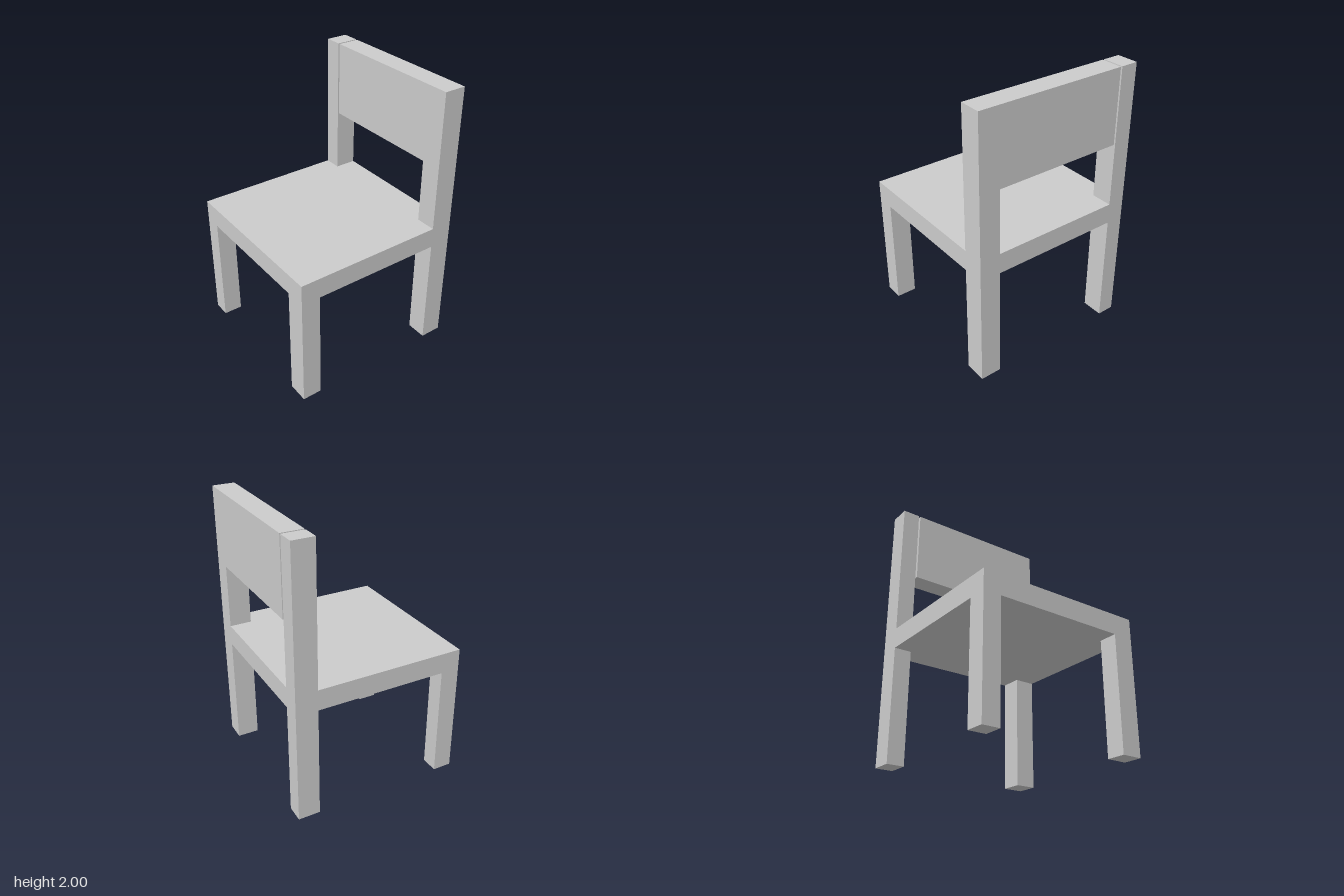
import * as THREE from 'three';

const material = new THREE.MeshStandardMaterial({ color: 0xcccccc, flatShading: true });

// Main dimensions
const X = 0.63, Z = 0.622, TOP = 2;
const SEAT_LOW = 0.835, SEAT_HIGH = 0.985;
const BACK_X = 0.47, FRONT_X = -0.49; // inner faces of the two leg frames
const THICK_LEG = -0.47, THIN_LEG = 0.493; // inner leg faces, as -z
const PANEL_END = 0.48, PANEL_LOW = 1.455; // backrest panel stops short of the thin post

// Extrudes an outline drawn in (-z, y) along x, from x0 to x1
function frame(name, points, x0, x1) {
  const shape = new THREE.Shape(points.map(([u, y]) => new THREE.Vector2(u, y)));
  const geometry = new THREE.ExtrudeGeometry(shape, { depth: x1 - x0, bevelEnabled: false });
  geometry.rotateY(Math.PI / 2).translate(x0, 0, 0);
  const mesh = new THREE.Mesh(geometry, material);
  mesh.name = name;
  return mesh;
}

export function createModel() {
  const chair = new THREE.Group();
  chair.name = 'chair';

  // Both legs and the rail between them, shared by the two frames
  const legs = [
    [-Z, 0], [THICK_LEG, 0], [THICK_LEG, SEAT_LOW],
    [THIN_LEG, SEAT_LOW], [THIN_LEG, 0], [Z, 0],
  ];

  // Back frame: legs, posts and backrest panel, with a narrow slit beside the thin post
  chair.add(frame('backFrame', [
    ...legs,
    [Z, TOP], [THIN_LEG, TOP], [THIN_LEG, SEAT_HIGH], [THICK_LEG, SEAT_HIGH],
    [THICK_LEG, PANEL_LOW], [PANEL_END, PANEL_LOW], [PANEL_END, TOP], [-Z, TOP],
  ], BACK_X, X));

  // Front frame: legs and seat edge
  chair.add(frame('frontFrame', [...legs, [Z, SEAT_HIGH], [-Z, SEAT_HIGH]], -X, FRONT_X));

  // Seat slab between the frames
  chair.add(frame('seat', [
    [-Z, SEAT_LOW], [Z, SEAT_LOW], [Z, SEAT_HIGH], [-Z, SEAT_HIGH],
  ], FRONT_X, BACK_X));

  return chair;
}
